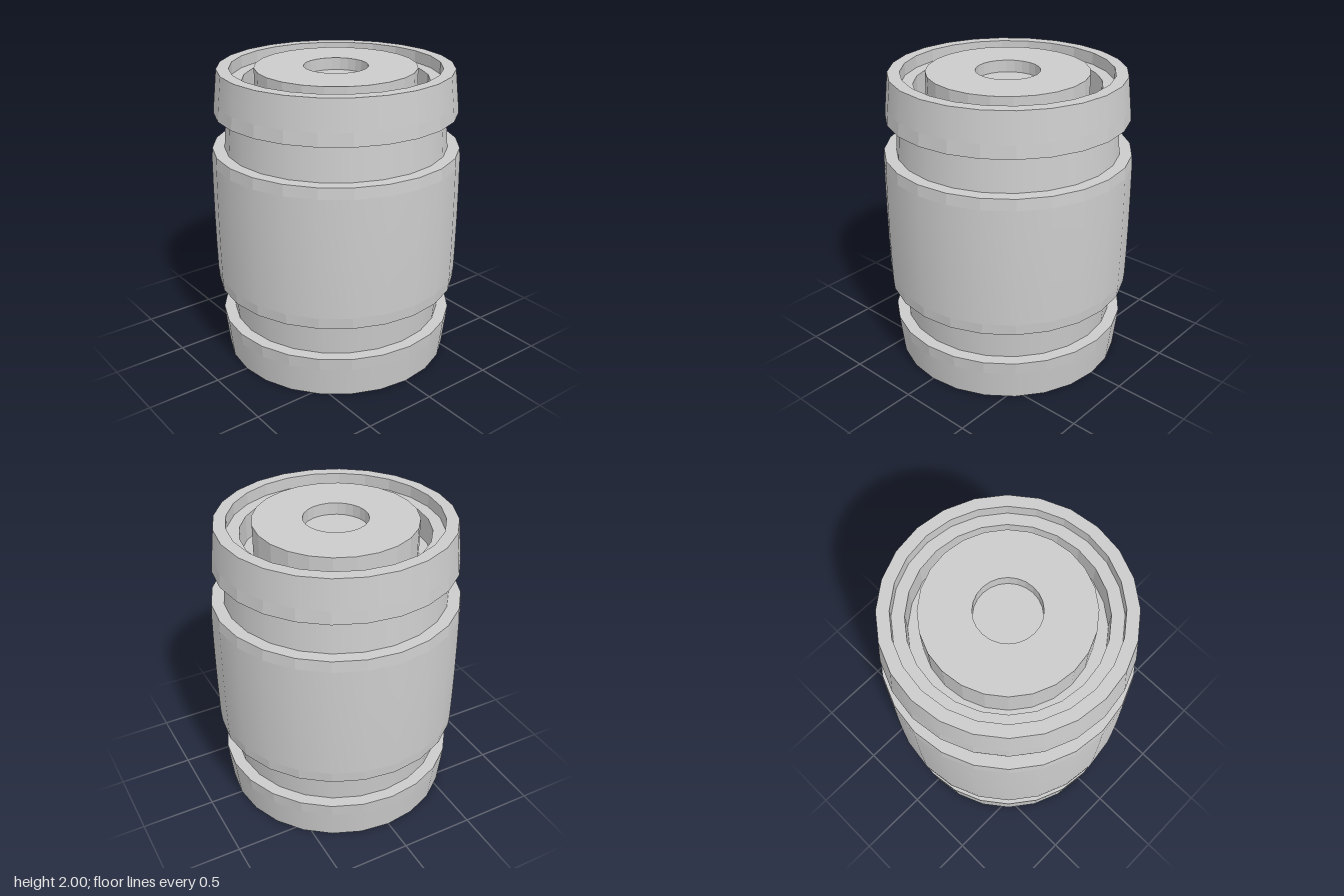
import * as THREE from 'three';
import { mergeGeometries } from 'three/addons/utils/BufferGeometryUtils.js';

const SIDES = 24;
const HEIGHT = 2;

// Revolve a profile; flat gives faceted sides, otherwise smooth ones
function band(points, flat = true) {
  const lathe = new THREE.LatheGeometry(points.map(([r, y]) => new THREE.Vector2(r, y)), SIDES);
  const g = lathe.toNonIndexed();
  if (flat) g.computeVertexNormals();
  return g;
}

// Mirror a profile about mid height, reversed so that faces still point outward
const flip = (points) => points.map(([r, y]) => [r, HEIGHT - y]).reverse();

export function createModel() {
  const group = new THREE.Group();
  const material = new THREE.MeshStandardMaterial({ color: 0xcccccc });

  const add = (name, bands) => {
    const mesh = new THREE.Mesh(mergeGeometries(bands.map(([p, flat]) => band(p, flat))), material);
    mesh.name = name;
    group.add(mesh);
  };

  // Bulging middle drum with faceted edge strips
  add('drum', [
    [[[0.73, 0.525], [0.82, 0.525]], true],
    [[[0.82, 0.525], [0.826, 0.6]], true],
    [[[0.826, 0.6], [0.829, 0.8], [0.83, 1], [0.829, 1.2], [0.826, 1.4]], false],
    [[[0.826, 1.4], [0.82, 1.475]], true],
    [[[0.82, 1.475], [0.73, 1.475]], true],
  ]);

  // Parts repeated at both ends, described for the top
  const ends = {
    Neck: [
      [[[0.74, 1.475], [0.72, 1.715]], false],
    ],
    Rim: [
      [[[0.71, 1.715], [0.8, 1.715]], true],
      [[[0.8, 1.715], [0.792, 1.8]], true],
      [[[0.792, 1.8], [0.77, 2]], false],
      [[[0.77, 2], [0.69, 2], [0.69, 1.92], [0.61, 1.92], [0.61, 1.75]], true],
    ],
    // Groove floor, raised plug and its shallow round socket
    Plug: [
      [[[0.61, 1.75], [0.53, 1.75], [0.53, 2], [0.21, 2], [0.21, 1.92], [0, 1.92]], true],
    ],
  };
  for (const [part, bands] of Object.entries(ends)) {
    add('top' + part, bands);
    add('bottom' + part, bands.map(([p, flat]) => [flip(p), flat]));
  }

  return group;
}
